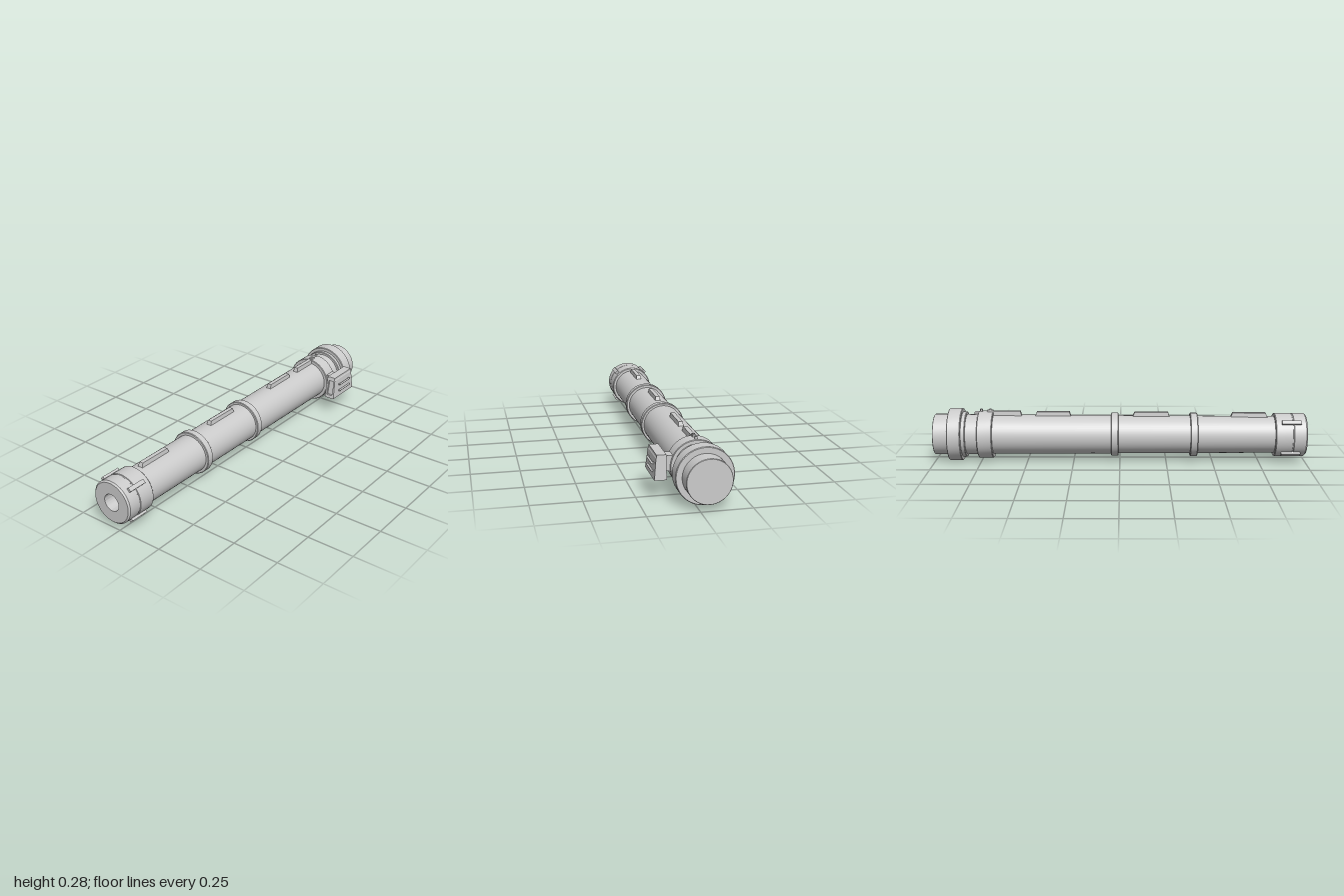
import * as THREE from 'three';
import { toCreasedNormals } from 'three/addons/utils/BufferGeometryUtils.js';

const AXIS_X = -0.042, AXIS_Y = 0.144;
const grey = new THREE.MeshStandardMaterial({ color: 0xcccccc });

function add(parent, name, geometry) {
  const mesh = new THREE.Mesh(geometry, grey);
  mesh.name = name;
  parent.add(mesh);
  return mesh;
}

// Turned part along z; profile of [radius, z] from back to front
function turned(profile) {
  const g = new THREE.LatheGeometry(profile.map(([r, z]) => new THREE.Vector2(r, z)), 48);
  return toCreasedNormals(g.rotateX(Math.PI / 2), 0.5);
}

// Closed ring or disc with a small edge chamfer
function band(z0, z1, r, c = 0.003) {
  return turned([[0, z0], [r - c, z0], [r, z0 + c], [r, z1 - c], [r - c, z1], [0, z1]]);
}

function box(x0, x1, y0, y1, z0, z1) {
  return new THREE.BoxGeometry(x1 - x0, y1 - y0, z1 - z0)
    .translate((x0 + x1) / 2, (y0 + y1) / 2, (z0 + z1) / 2);
}

// Rail with sloped ends and sides narrowing toward the top
function rail(z0, z1, top) {
  const base = 0.09, g = new THREE.BoxGeometry(1, 1, 1), p = g.attributes.position;
  for (let i = 0; i < p.count; i++) {
    const up = p.getY(i) > 0;
    const inset = up ? 0.012 : 0;
    p.setXYZ(i, Math.sign(p.getX(i)) * (up ? 0.011 : 0.015), up ? top : base,
      p.getZ(i) > 0 ? z1 - inset : z0 + inset);
  }
  g.computeVertexNormals();
  return g;
}

export function createModel() {
  const model = new THREE.Group();
  model.name = 'launcherTube';
  const tube = new THREE.Group();
  tube.name = 'tube';
  tube.position.set(AXIS_X, AXIS_Y, 0);
  model.add(tube);

  // Tapered barrel, muzzle cap with bore, and bands
  add(tube, 'barrel', turned([[0, -0.93], [0.108, -0.93], [0.107, -0.68], [0.099, 0.84], [0, 0.84]]));
  add(tube, 'muzzleCap', turned([
    [0.09, 0.83], [0.113, 0.83], [0.117, 0.834], [0.117, 0.921], [0.114, 0.923], [0.114, 0.927],
    [0.116, 0.929], [0.116, 0.992], [0.108, 1], [0.046, 1], [0.046, 0.86], [0, 0.86],
  ]));
  add(tube, 'middleRing', band(-0.047, -0.008, 0.117));
  add(tube, 'frontRing', band(0.378, 0.417, 0.117));
  add(tube, 'rearCollar', band(-0.762, -0.682, 0.127));
  add(tube, 'thinFlange', band(-0.85, -0.826, 0.122));
  add(tube, 'rearFlange', band(-0.92, -0.848, 0.141));
  add(tube, 'endPlug', band(-1, -0.91, 0.11, 0.002));

  // Four lugs round the muzzle cap
  for (let i = 0; i < 4; i++) {
    const lug = add(tube, 'muzzleLug', box(0.105, 0.128, -0.011, 0.011, 0.863, 0.965));
    lug.rotation.z = Math.PI / 4 + i * Math.PI / 2;
  }

  // Rails along the top
  for (const [z0, z1, top] of [
    [0.594, 0.797, 0.121], [0.066, 0.271, 0.124], [-0.46, -0.26, 0.127], [-0.71, -0.525, 0.13],
  ]) add(tube, 'topRail', rail(z0, z1, top));

  // Sight block and pins on the collar
  add(tube, 'sightBlock', box(-0.009, 0.009, 0.115, 0.136, -0.715, -0.683));
  for (const z of [-0.7, -0.747]) {
    add(tube, 'collarPin', new THREE.CylinderGeometry(0.007, 0.007, 0.03, 16).translate(0, 0.125, z));
  }

  // Side box on an arm, with a recessed front panel and slanted ends
  const sideBox = new THREE.Group();
  sideBox.name = 'sideBox';
  model.add(sideBox);
  add(sideBox, 'mountArm', box(0.04, 0.12, 0.124, 0.2, -0.755, -0.693));

  const outline = () => new THREE.Shape([
    [0.116, 0.104], [0.175, 0.104], [0.166, 0.208], [0.163, 0.214], [0.163, 0.225], [0.116, 0.225],
  ].map(([x, y]) => new THREE.Vector2(x, y)));
  const slab = (shape, z0, z1) => {
    const g = new THREE.ExtrudeGeometry(shape, { depth: z1 - z0, bevelEnabled: false }).translate(0, 0, z0);
    const p = g.attributes.position;
    for (let i = 0; i < p.count; i++) {
      const rise = p.getY(i) - 0.104;
      p.setZ(i, p.getZ(i) + (p.getZ(i) > -0.7 ? -0.22 : 0.08) * rise);
    }
    g.computeVertexNormals();
    return g;
  };
  add(sideBox, 'boxBody', slab(outline(), -0.822, -0.624));
  const rim = outline();
  rim.holes.push(new THREE.Path([
    [0.126, 0.121], [0.126, 0.204], [0.159, 0.204], [0.161, 0.121],
  ].map(([x, y]) => new THREE.Vector2(x, y))));
  add(sideBox, 'frontRim', slab(rim, -0.624, -0.612));

  // Two grip bars with end feet on the outer face
  for (const y of [0.177, 0.139]) {
    const bar = new THREE.CapsuleGeometry(0.0055, 0.1, 4, 12).rotateX(Math.PI / 2);
    add(sideBox, 'gripBar', bar.translate(0.177, y, -0.728));
    for (const z of [-0.78, -0.68]) {
      add(sideBox, 'gripFoot', box(0.16, 0.177, y - 0.004, y + 0.004, z, z + 0.008));
    }
  }
  return model;
}
